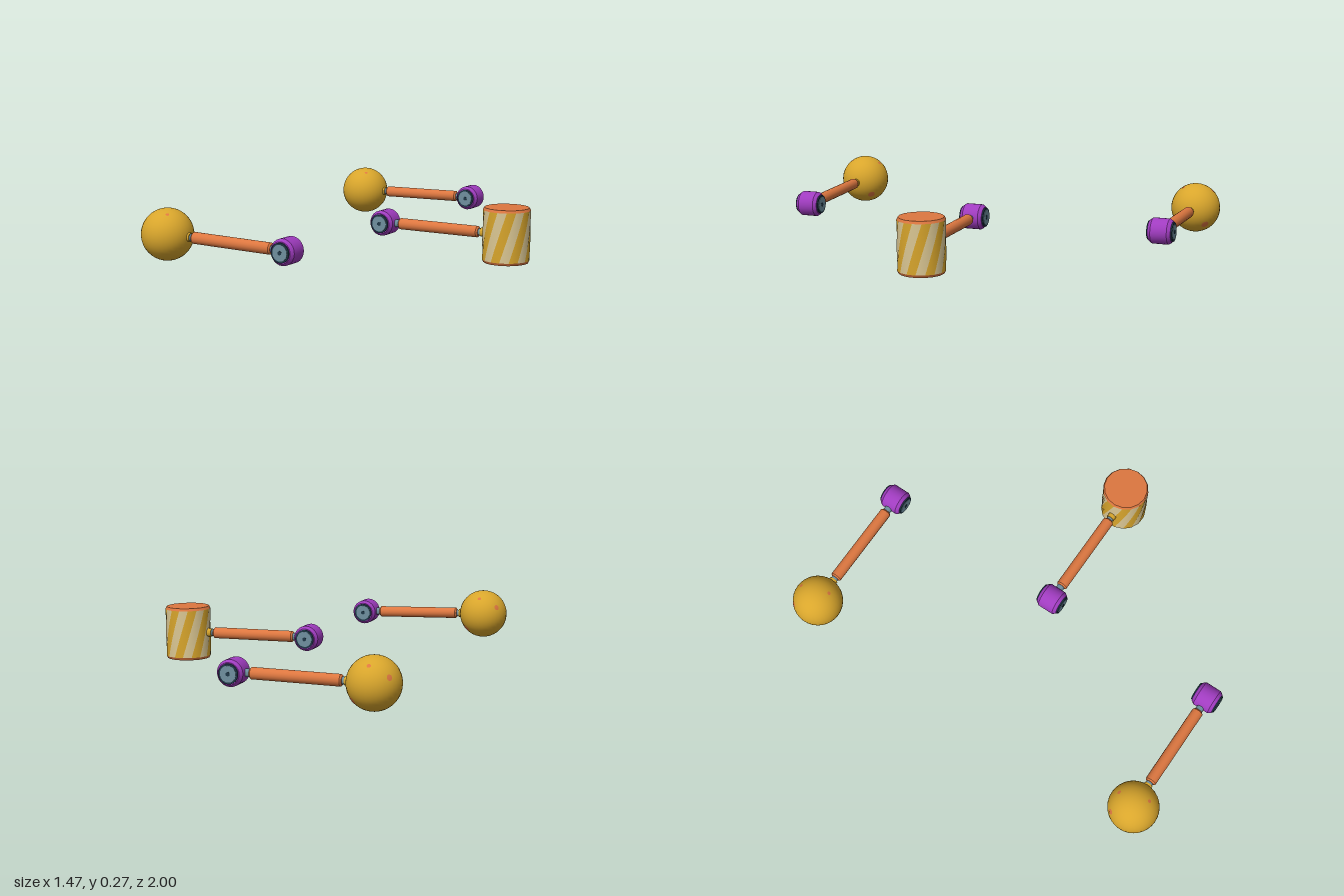
import * as THREE from 'three';
import { toCreasedNormals } from 'three/addons/utils/BufferGeometryUtils.js';

const flat = (name, color) => {
  const m = new THREE.MeshStandardMaterial({ color });
  m.name = name;
  return m;
};
const mats = {
  yellow: flat('golden yellow', 0xd9a62c),
  cream: flat('pale cream', 0xdcc894),
  orange: flat('orange', 0xdd7740),
  purple: flat('purple', 0xa03cc0),
  dark: flat('dark slate', 0x1f3848),
  steel: flat('blue grey steel', 0x6f8f9e),
};

function mesh(name, geometry, material) {
  const m = new THREE.Mesh(geometry, material);
  m.name = name;
  return m;
}

// Solid of revolution about the y axis, [radius, height] from the bottom up
function turned(points, sides, crease = 0.55) {
  const g = new THREE.LatheGeometry(points.map(([r, y]) => new THREE.Vector2(r, y)), sides);
  return toCreasedNormals(g, crease);
}

// Plain or chamfered bar running along x from x0 to x1
function bar(name, x0, x1, r, chamfer, material, sides = 16) {
  const h = (x1 - x0) / 2;
  const c = chamfer;
  const g = turned([[0, -h], [r - c, -h], [r, c - h], [r, h - c], [r - c, h], [0, h]], sides);
  g.rotateZ(-Math.PI / 2).translate((x0 + x1) / 2, 0, 0);
  return mesh(name, g, material);
}

// Pivot with its axis along z, capped with a rimmed disc on both faces
function hub() {
  const group = new THREE.Group();
  group.name = 'hub';
  const barrel = turned([[0, -0.053], [0.048, -0.053], [0.059, -0.038], [0.059, 0.038],
    [0.048, 0.053], [0, 0.053]], 24).rotateX(Math.PI / 2);
  group.add(mesh('hubBarrel', barrel, mats.purple));
  const disc = (name, r, depth, material, sides) => {
    const g = new THREE.CylinderGeometry(r, r, depth * 2, sides).rotateX(Math.PI / 2);
    group.add(mesh(name, g, material));
  };
  disc('hubRims', 0.044, 0.059, mats.dark, 24);
  disc('hubDiscs', 0.036, 0.061, mats.steel, 24);
  disc('hubBolts', 0.01, 0.063, mats.dark, 6);
  return group;
}

// Arm reaching along +x from the hub
function arm() {
  const group = new THREE.Group();
  group.name = 'arm';
  group.add(
    bar('innerJoint', 0.045, 0.085, 0.018, 0, mats.steel),
    bar('rod', 0.076, 0.485, 0.0265, 0.007, mats.orange),
    bar('outerJoint', 0.475, 0.51, 0.016, 0, mats.steel),
    bar('headCollar', 0.496, 0.54, 0.02, 0, mats.yellow),
  );
  return group;
}

const HEAD_X = 0.621;

// Ball head with a few small round spots lying on its surface
function ballHead() {
  const group = new THREE.Group();
  group.name = 'ballHead';
  const R = 0.117;
  group.add(mesh('ball', new THREE.SphereGeometry(R, 32, 24), mats.yellow));
  const spots = [[0.02, 0.73, 0.69, 0.009], [0.73, 0.35, 0.58, 0.013],
    [-0.6, -0.56, 0.55, 0.018], [-0.31, 0.84, -0.45, 0.008]];
  for (const [x, y, z, r] of spots) {
    const cap = new THREE.SphereGeometry(R + 0.0012, 12, 2, 0, Math.PI * 2, 0, r / R);
    const spot = mesh('ballSpot', cap, mats.orange);
    spot.quaternion.setFromUnitVectors(new THREE.Vector3(0, 1, 0), new THREE.Vector3(x, y, z).normalize());
    group.add(spot);
  }
  group.position.x = HEAD_X;
  return group;
}

// Drum head: alternating stripes twisting upward, with bevelled end caps
function drumHead() {
  const group = new THREE.Group();
  group.name = 'drumHead';
  const R = 0.108, H = 0.113, SIDES = 16, ROWS = 8;
  const step = Math.PI * 2 / SIDES;
  const twist = THREE.MathUtils.degToRad(38);
  const phase = THREE.MathUtils.degToRad(-6) - step / 2;
  const stripes = parity => {
    const pos = [], nor = [];
    const put = (c, j) => {
      const a = phase + c * step + twist * (j / ROWS - 0.5);
      pos.push(R * Math.sin(a), H * (2 * j / ROWS - 1), R * Math.cos(a));
      nor.push(Math.sin(a), 0, Math.cos(a));
    };
    for (let c = parity; c < SIDES; c += 2) {
      for (let j = 0; j < ROWS; j++) {
        for (const [u, v] of [[0, 0], [1, 0], [1, 1], [0, 0], [1, 1], [0, 1]]) put(c + u, j + v);
      }
    }
    const g = new THREE.BufferGeometry();
    g.setAttribute('position', new THREE.Float32BufferAttribute(pos, 3));
    g.setAttribute('normal', new THREE.Float32BufferAttribute(nor, 3));
    return g;
  };
  group.add(mesh('creamStripes', stripes(0), mats.cream));
  group.add(mesh('yellowStripes', stripes(1), mats.yellow));
  for (const end of [1, -1]) {
    const cap = mesh('drumCap', turned([[R, H], [R - 0.006, H + 0.012], [0, H + 0.012]], SIDES), mats.orange);
    cap.rotation.set(end > 0 ? 0 : Math.PI, end > 0 ? phase + twist / 2 : twist / 2 - phase, 0);
    group.add(cap);
  }
  group.position.x = HEAD_X;
  return group;
}

export function createModel() {
  const model = new THREE.Group();
  model.name = 'pivotArms';
  const units = [
    { name: 'frontBallArm', z: 0.882, turn: Math.PI, tilt: 0.034, head: ballHead },
    { name: 'drumArm', z: 0.023, turn: 0, tilt: -0.013, head: drumHead },
    { name: 'backBallArm', z: -0.882, turn: Math.PI, tilt: -0.008, head: ballHead },
  ];
  for (const { name, z, turn, tilt, head } of units) {
    const unit = new THREE.Group();
    unit.name = name;
    unit.add(hub(), arm(), head());
    unit.position.set(0, 0.135, z);
    unit.rotation.set(0, turn, tilt);
    model.add(unit);
  }
  return model;
}
